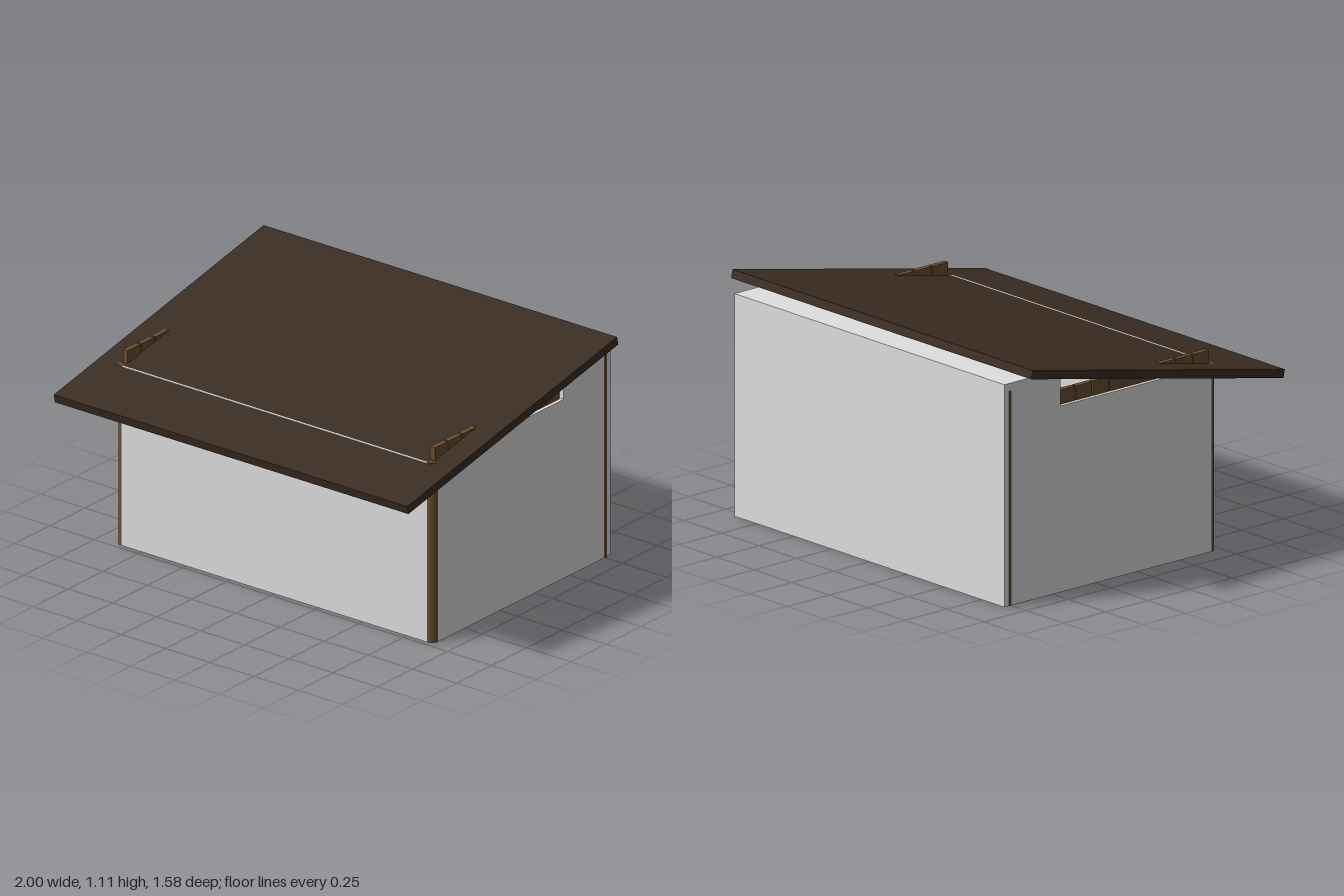
import * as THREE from 'three';

const mat = (name, color) => {
  const m = new THREE.MeshStandardMaterial({ color });
  m.name = name;
  return m;
};

export function createModel() {
  const group = new THREE.Group();
  const plaster = mat('plaster', 0xe0e0e0);
  const wood = mat('wood', 0x6b4e30);
  const roofing = mat('darkRoof', 0x3b2c22);

  const add = (name, geometry, material, x, y, z) => {
    const mesh = new THREE.Mesh(geometry, material);
    mesh.name = name;
    mesh.position.set(x, y, z);
    group.add(mesh);
    return mesh;
  };
  // Box given by its lower and upper limits on each axis
  const box = (name, material, [x0, x1], [y0, y1], [z0, z1]) =>
    add(name, new THREE.BoxGeometry(x1 - x0, y1 - y0, z1 - z0), material,
      (x0 + x1) / 2, (y0 + y1) / 2, (z0 + z1) / 2);

  const R = 0.035, wallTop = 0.866, stepZ = -0.455;

  // Walls: thin front, deep and taller back
  box('frontWall', plaster, [-0.865, 0.865], [0, wallTop], [0.415, 0.475]);
  box('backWall', plaster, [-0.9, 0.9], [0, 1.035], [-0.79, stepZ]);

  for (const s of [-1, 1]) {
    const side = s > 0 ? 'left' : 'right';
    const span = (a, b) => (s > 0 ? [a, b] : [-b, -a]);
    box(side + 'Wall', plaster, span(0.84, 0.9), [0, wallTop], [stepZ, 0.44]);

    // Quarter-round post at the front corner
    const post = new THREE.CylinderGeometry(R, R, 0.869, 12, 1, false,
      s > 0 ? 0 : -Math.PI / 2, Math.PI / 2);
    add(side + 'CornerPost', post, wood, s * 0.865, 0.4345, 0.44);

    // Exposed edge of the board inside the back wall
    box(side + 'BackBoardEdge', wood, span(0.898, 0.902), [0, 1.0], [-0.761, -0.749]);

    // Row of blocks along the top of the side wall
    const count = 9, pitch = (0.442 - stepZ) / count;
    for (let i = 0; i < count; i++) {
      const z = 0.442 - i * pitch;
      box(side + 'TopBlock' + (i + 1), wood, span(0.856, 0.882), [0.85, 0.933],
        [z - pitch + 0.007, z]);
    }
  }

  // Sloping slab roof
  const roof = add('roof', new THREE.BoxGeometry(2, 0.04, 1.53), roofing, 0, 0.934, 0.034);
  roof.rotation.x = 0.203;

  return group;
}
